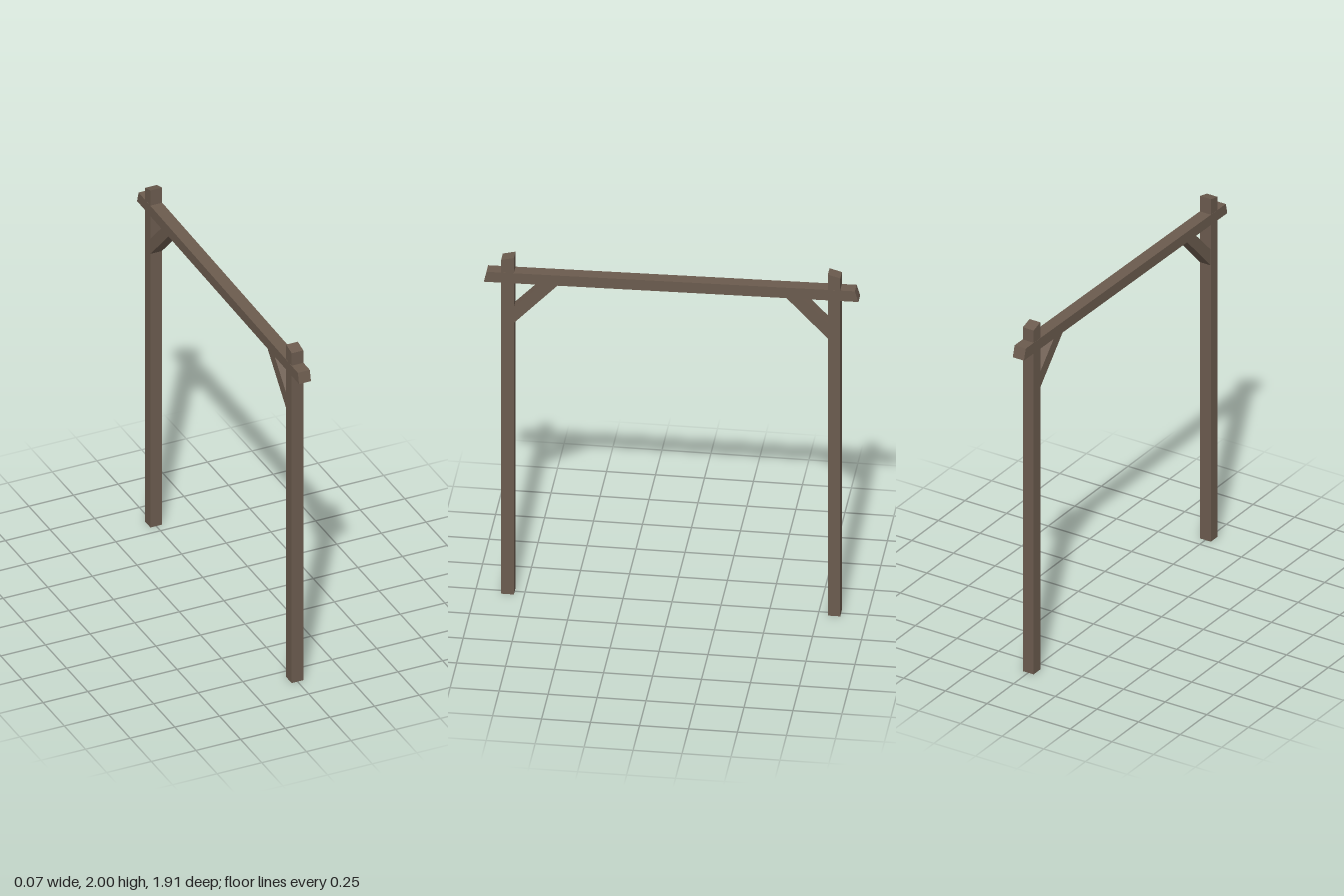
import * as THREE from 'three';

// Extrudes a [z, y] outline along x, centred on x = 0
function timber(name, outline, width, material) {
  const shape = new THREE.Shape(outline.map(([z, y]) => new THREE.Vector2(z, y)));
  const geometry = new THREE.ExtrudeGeometry(shape, { depth: width, bevelEnabled: false });
  geometry.translate(0, 0, -width / 2);
  geometry.rotateY(-Math.PI / 2);
  const mesh = new THREE.Mesh(geometry, material);
  mesh.name = name;
  return mesh;
}

export function createModel() {
  const group = new THREE.Group();
  group.name = 'timberGateFrame';
  const wood = new THREE.MeshStandardMaterial({ color: 0x6b5b4e });
  wood.name = 'weatheredWood';

  // Upright posts with slanted tops
  group.add(timber('frontPost', [[0.868, 0], [0.868, 1.957], [0.803, 1.973], [0.803, 0]], 0.065, wood));
  group.add(timber('backPost', [[-0.8, 0], [-0.8, 2], [-0.863, 1.981], [-0.863, 0]], 0.065, wood));

  // Slightly tilted cross beam with angled ends
  group.add(timber('crossBeam', [[0.956, 1.823], [0.943, 1.882], [-0.938, 1.912], [-0.956, 1.851]], 0.067, wood));

  // Diagonal braces, with their ends let into the posts and beam
  group.add(timber('frontBrace', [[0.82, 1.574], [0.82, 1.665], [0.635, 1.858], [0.552, 1.858]], 0.064, wood));
  group.add(timber('backBrace', [[-0.82, 1.603], [-0.82, 1.693], [-0.64, 1.88], [-0.555, 1.88]], 0.064, wood));

  return group;
}
